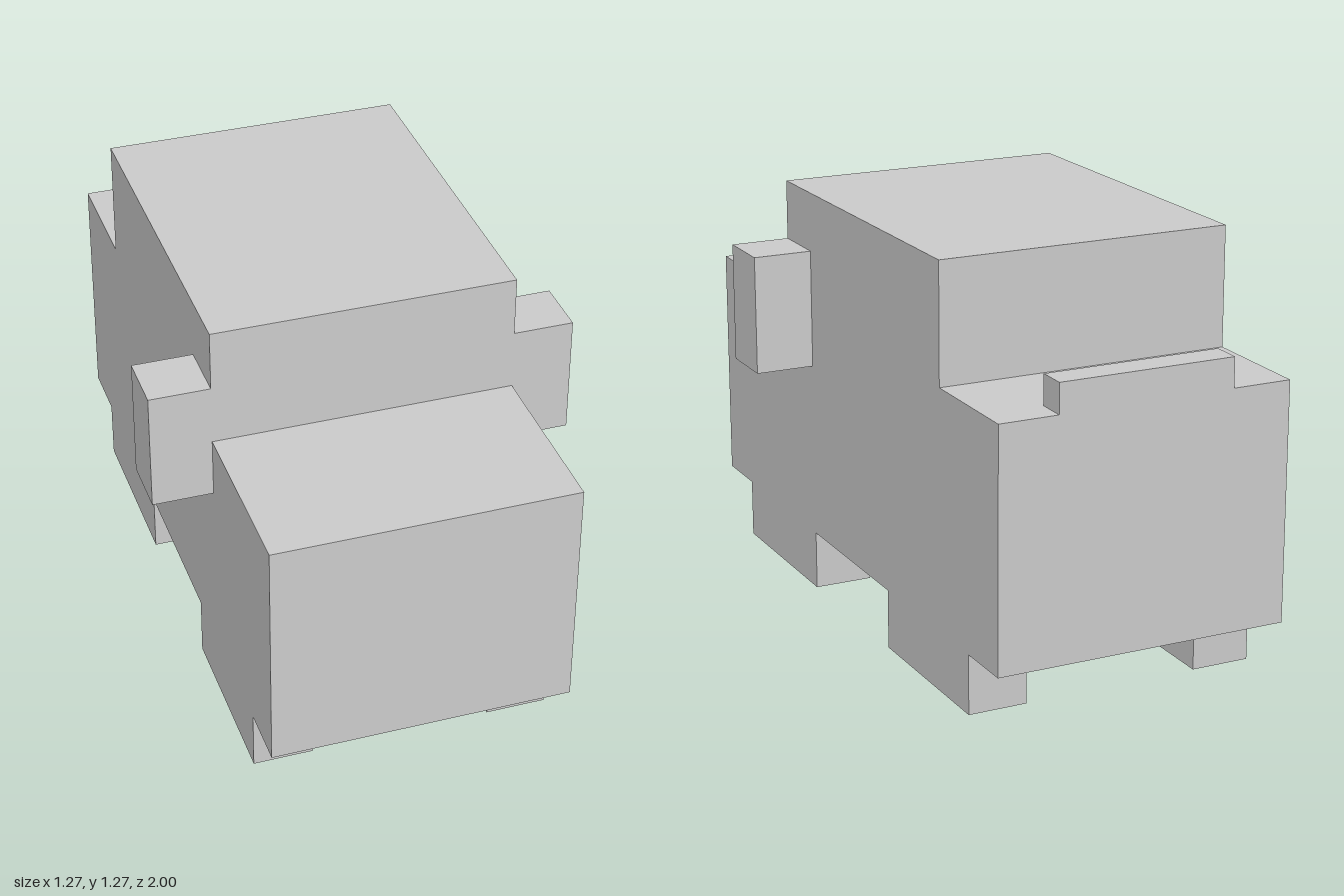
import * as THREE from 'three';

const U = 1 / 11; // block unit: the vehicle is 22 units long

export function createModel() {
  const group = new THREE.Group();
  const material = new THREE.MeshStandardMaterial({ color: 0xcccccc, flatShading: true });

  const add = (name, geometry) => {
    const mesh = new THREE.Mesh(geometry, material);
    mesh.name = name;
    group.add(mesh);
  };

  // Box given by its lower and upper corners in block units
  const block = (name, [x0, y0, z0], [x1, y1, z1]) => {
    const geometry = new THREE.BoxGeometry((x1 - x0) * U, (y1 - y0) * U, (z1 - z0) * U);
    geometry.translate((x0 + x1) / 2 * U, (y0 + y1) / 2 * U, (z0 + z1) / 2 * U);
    add(name, geometry);
  };

  // Body: stepped side profile (z, y) with hood, cabin and rear deck, extruded across the width
  const profile = [[11, 2], [11, 10], [5, 10], [5, 14], [-7, 14], [-7, 10], [-11, 10], [-11, 2]];
  const shape = new THREE.Shape(profile.map(([z, y]) => new THREE.Vector2(-z * U, y * U)));
  const body = new THREE.ExtrudeGeometry(shape, { depth: 10 * U, bevelEnabled: false });
  body.translate(0, 0, -5 * U);
  body.rotateY(Math.PI / 2);
  add('body', body);

  // Wheels and mirrors on both sides
  for (const [side, x] of [['left', 3], ['right', -5]]) {
    block(side + 'FrontWheel', [x, 0, 3], [x + 2, 2, 9]);
    block(side + 'RearWheel', [x, 0, -9], [x + 2, 2, -3]);
    const m = side === 'left' ? 5 : -7;
    block(side + 'Mirror', [m, 8, 3], [m + 2, 12, 5]);
  }

  // Low spoiler strip on the rear edge
  block('spoiler', [-3, 10, -11], [3, 11, -10]);

  return group;
}
